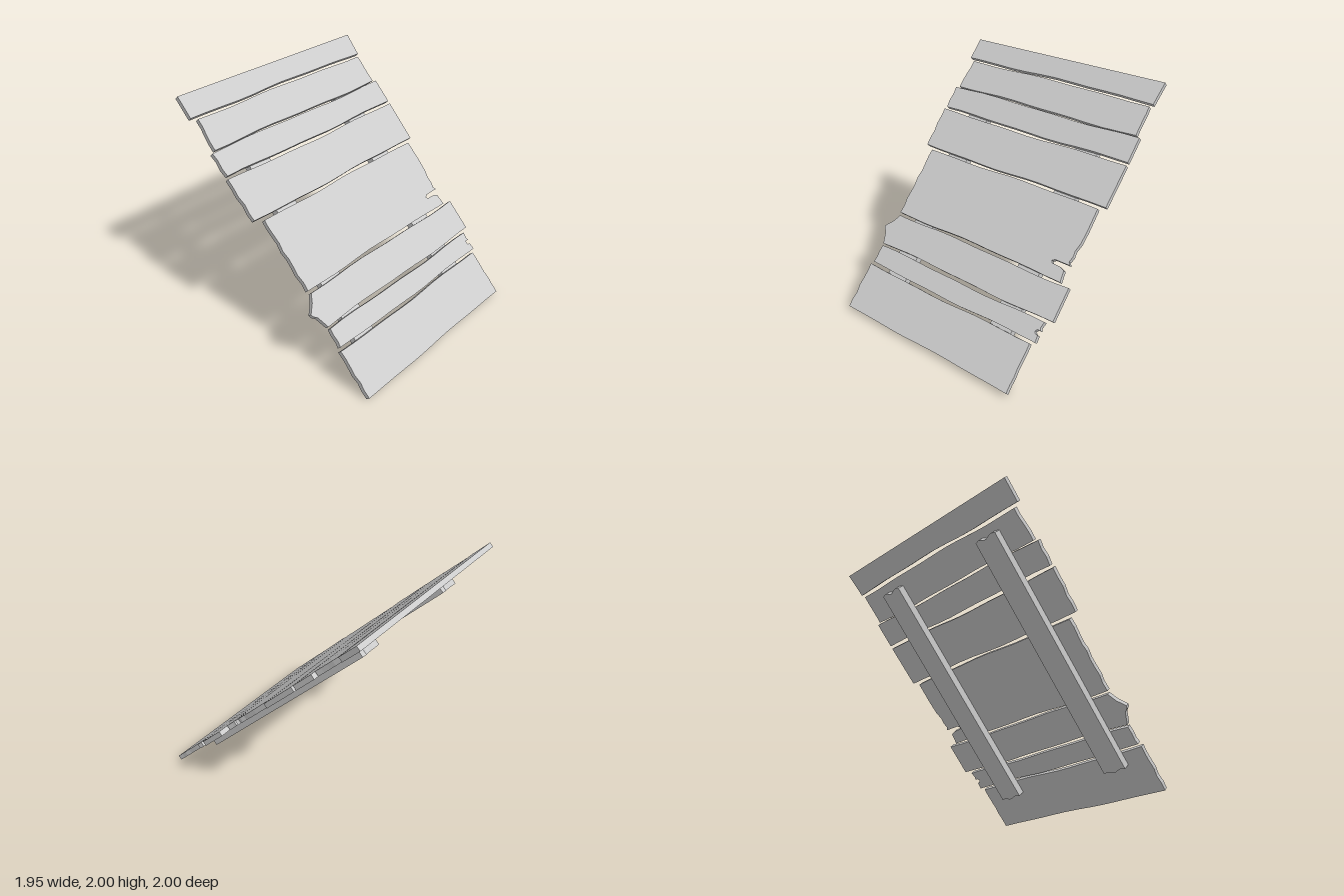
import * as THREE from 'three';

const THICK = 0.0424;   // plank thickness
const BEAM = 0.07;      // beam thickness

// Height of a point on the front face -> distance along the 45 degree slope
const slope = (y) => (2 * y - 1.03) / Math.SQRT2;

// Each plank: top and bottom height, -x end at top and bottom, +x end at top and bottom
const PLANKS = [
  [2, 1.859, -0.975, -0.975, 0.973, 0.958],
  [1.84, 1.643, -0.922, -0.935, 0.934, 0.937],
  [1.633, 1.476, -0.972, -0.958, 0.973, 0.973],
  [1.456, 1.19, -0.973, -0.962, 0.973, 0.967],
  [1.171, 0.711, -0.88, -0.875, 0.908, 0.885],
  [0.694, 0.486, -0.86, -0.885, 0.973, 0.973],
  [0.467, 0.346, -0.88, -0.888, 0.91, 0.91],
  [0.329, 0.035, -0.906, -0.904, 0.872, 0.873],
];

// Broken ends, from top to bottom
const SPLIT = [[0.91, 1.03], [0.905, 0.95], [0.888, 0.9], [0.893, 0.865], [0.88, 0.83], [0.897, 0.812],
  [0.76, 0.812], [0.735, 0.8], [0.75, 0.788], [0.83, 0.785], [0.872, 0.772], [0.875, 0.75]];
const SPIKE = [[-0.9, 0.64], [-0.963, 0.592], [-0.955, 0.575], [-0.925, 0.557], [-0.9, 0.51]];
const NICK = [[0.9, 0.435], [0.91, 0.418], [0.88, 0.418], [0.868, 0.405], [0.88, 0.393], [0.905, 0.39]];

// Wavy long edge from x0 to x1
function wavyEdge(y, x0, x1, size, phase) {
  return Array.from({ length: 13 }, (_, k) => {
    const x = x0 + (x1 - x0) * k / 12;
    return [x, y + size * (0.65 * Math.sin(4 * x + phase) + 0.35 * Math.sin(9 * x + 2 * phase))];
  });
}

// Slightly chipped short end, stepping down from the top corner to the bottom one
function chippedEnd(x0, x1, yTop, yBottom, size, phase) {
  const steps = Math.max(3, Math.round((yTop - yBottom) / 0.05));
  return Array.from({ length: steps - 1 }, (_, k) => {
    const f = (k + 1) / steps;
    return [x0 + (x1 - x0) * f + size * Math.sin(2.3 * k + phase), yTop + (yBottom - yTop) * f];
  });
}

function slab(points, depth, z, material) {
  const shape = new THREE.Shape(points.map(([x, t]) => new THREE.Vector2(x, t)));
  const geometry = new THREE.ExtrudeGeometry(shape, { depth, bevelEnabled: false });
  geometry.translate(0, 0, z);
  return new THREE.Mesh(geometry, material);
}

export function createModel() {
  const group = new THREE.Group();
  group.name = 'plankPanel';
  const wood = new THREE.MeshStandardMaterial({ color: 0xcccccc });
  wood.name = 'paleGrey';

  // Everything lies on one slope leaning back at 45 degrees
  const panel = new THREE.Group();
  panel.name = 'slopedPanel';
  panel.rotation.x = -Math.PI / 4;
  panel.position.set(0, 0.5, 0.5);
  group.add(panel);

  // Horizontal planks; the outermost edges stay straighter and cleaner
  PLANKS.forEach(([yTop, yBottom, minTop, minBottom, maxTop, maxBottom], i) => {
    const minEnd = i === 5 ? SPIKE : chippedEnd(minTop, minBottom, yTop, yBottom, i === 0 ? 0 : 0.006, i);
    const maxEnd = { 4: SPLIT, 6: NICK }[i]
      ?? chippedEnd(maxTop, maxBottom, yTop, yBottom, [1, 7].includes(i) ? 0.003 : 0, i);
    const outline = [
      ...wavyEdge(yTop, minTop, maxTop, i === 0 ? 0 : 0.007, 1.7 * i),
      ...maxEnd,
      ...wavyEdge(yBottom, minBottom, maxBottom, i === 7 ? 0.005 : 0.007, 1.7 * i + 1).reverse(),
      ...minEnd.slice().reverse(),
    ].reverse().map(([x, y]) => [x, slope(y)]);
    const plank = slab(outline, THICK, -THICK / 2, wood);
    plank.name = `plank${i + 1}`;
    panel.add(plank);
  });

  // Two support beams on the back, with chipped ends
  const chips = [0, 0.012, 0.004, -0.012, -0.006, 0.01, 0];
  [['leftBeam', 0.455, 0.665], ['rightBeam', -0.71, -0.5]].forEach(([name, x0, x1]) => {
    const end = (t) => chips.map((chip, k) => [x0 + (x1 - x0) * k / (chips.length - 1), t + chip]);
    const beam = slab([...end(-0.38), ...end(1.785).reverse()], BEAM, -THICK / 2 - BEAM, wood);
    beam.name = name;
    panel.add(beam);
  });

  return group;
}
